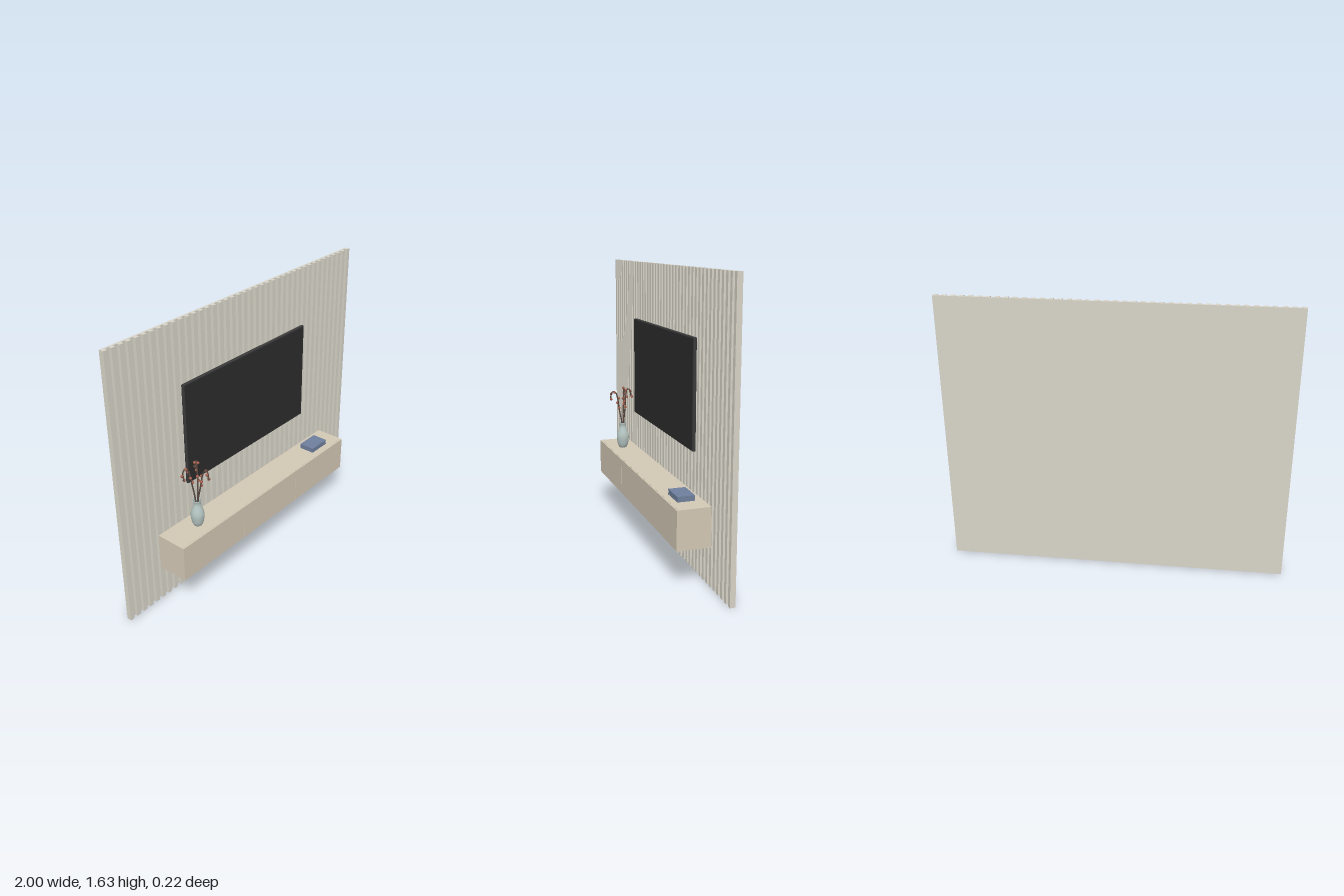
import * as THREE from 'three';
import { RoundedBoxGeometry } from 'three/addons/geometries/RoundedBoxGeometry.js';

const mat = (color, side = THREE.FrontSide) => new THREE.MeshStandardMaterial({ color, side });

function add(parent, name, geometry, material, x = 0, y = 0, z = 0) {
  const mesh = new THREE.Mesh(geometry, material);
  mesh.name = name;
  mesh.position.set(x, y, z);
  parent.add(mesh);
  return mesh;
}

// Box given by its min and max corners
function box(parent, name, material, [x0, y0, z0], [x1, y1, z1], radius = 0) {
  const size = [x1 - x0, y1 - y0, z1 - z0];
  const geo = radius ? new RoundedBoxGeometry(...size, 2, radius) : new THREE.BoxGeometry(...size);
  return add(parent, name, geo, material, (x0 + x1) / 2, (y0 + y1) / 2, (z0 + z1) / 2);
}

// Back board with evenly spaced vertical slats
function createWall() {
  const wall = new THREE.Group();
  wall.name = 'slattedWall';
  const cream = mat(0xd8d4c8);
  box(wall, 'backBoard', cream, [-1, 0, -0.11], [1, 1.63, -0.098]);
  const count = 41, width = 2 / (2 * count - 1);
  for (let i = 0; i < count; i++) {
    const x = -1 + 2 * i * width;
    box(wall, 'slat', cream, [x, 0, -0.098], [x + width, 1.63, -0.08]);
  }
  return wall;
}

function createTelevision() {
  const tv = new THREE.Group();
  tv.name = 'television';
  box(tv, 'televisionBody', mat(0x3a3a3a), [-0.52, 0.67, -0.081], [0.52, 1.277, -0.062], 0.005);
  box(tv, 'screen', mat(0x2c2c2c), [-0.513, 0.677, -0.064], [0.513, 1.27, -0.0605]);
  return tv;
}

// Floating cabinet with three doors and a light strip underneath
function createCabinet() {
  const cabinet = new THREE.Group();
  cabinet.name = 'cabinet';
  const wood = mat(0xd3c8b5);
  box(cabinet, 'cabinetBody', wood, [-0.75, 0.222, -0.08], [0.75, 0.44, 0.1]);
  for (let i = -1; i <= 1; i++) {
    const left = i < 0 ? -0.75 : i * 0.5 - 0.2485;
    const right = i > 0 ? 0.75 : i * 0.5 + 0.2485;
    box(cabinet, 'door', wood, [left, 0.223, 0.1], [right, 0.439, 0.108]);
  }
  box(cabinet, 'lightStrip', mat(0xe8e2d4), [-0.72, 0.217, -0.043], [0.72, 0.223, -0.032]);
  return cabinet;
}

// Open vase turned from a profile, with an inner wall
function createVase() {
  const vase = new THREE.Group();
  vase.name = 'vase';
  const outer = new THREE.SplineCurve([
    [0.023, 0], [0.033, 0.022], [0.039, 0.062], [0.036, 0.09],
    [0.025, 0.122], [0.02, 0.142], [0.024, 0.163],
  ].map(([x, y]) => new THREE.Vector2(x, y))).getPoints(24);
  const inner = [[0.02, 0.163], [0.016, 0.142], [0.03, 0.09], [0.02, 0.03], [0, 0.03]];
  const profile = [new THREE.Vector2(0, 0), ...outer, ...inner.map(([x, y]) => new THREE.Vector2(x, y))];
  add(vase, 'vaseBody', new THREE.LatheGeometry(profile, 32), mat(0xb4c4c0, THREE.DoubleSide));
  return vase;
}

// Curved stem whose tip hangs over, with berries along its upper part
function createBranch(points) {
  const branch = new THREE.Group();
  branch.name = 'branch';
  const curve = new THREE.CatmullRomCurve3(points.map((p) => new THREE.Vector3(...p)));
  add(branch, 'stem', new THREE.TubeGeometry(curve, 40, 0.0042, 8), mat(0x5a4a42));
  const berry = new THREE.SphereGeometry(0.0085, 12, 8), red = mat(0xa8604e);
  [0.56, 0.64, 0.72, 0.83, 0.92, 1].forEach((t, i) => {
    const p = curve.getPointAt(t), a = i * 2.4;
    add(branch, 'berry', berry, red, p.x + 0.007 * Math.cos(a), p.y, p.z + 0.007 * Math.sin(a));
  });
  return branch;
}

// Closed book with pages set back from its covers
function createBook() {
  const book = new THREE.Group();
  book.name = 'book';
  const blue = mat(0x6f7f9c);
  box(book, 'bottomCover', blue, [0.487, 0.44, -0.036], [0.633, 0.445, 0.062]);
  box(book, 'pages', blue, [0.488, 0.445, -0.035], [0.632, 0.465, 0.061]);
  box(book, 'topCover', blue, [0.487, 0.465, -0.036], [0.633, 0.47, 0.062]);
  return book;
}

export function createModel() {
  const model = new THREE.Group();
  model.name = 'mediaWall';
  model.add(createWall(), createTelevision(), createCabinet(), createBook());

  const arrangement = new THREE.Group();
  arrangement.name = 'vaseArrangement';
  arrangement.position.set(-0.535, 0.44, 0.013);
  arrangement.add(createVase());
  // Left, front and right branches, relative to the vase foot
  [
    [[0, 0.04, 0], [-0.008, 0.17, -0.004], [-0.022, 0.28, -0.012], [-0.03, 0.345, -0.02],
      [-0.05, 0.383, -0.025], [-0.068, 0.365, -0.028], [-0.066, 0.31, -0.026]],
    [[0, 0.04, 0], [0.002, 0.17, 0.008], [0.006, 0.26, 0.026], [0.012, 0.33, 0.037],
      [0.015, 0.368, 0.053], [0.014, 0.37, 0.073], [0.01, 0.325, 0.084]],
    [[0, 0.04, 0], [0.01, 0.17, -0.004], [0.022, 0.27, -0.01], [0.026, 0.34, -0.014],
      [0.032, 0.388, -0.022], [0.042, 0.383, -0.036], [0.04, 0.34, -0.045]],
  ].forEach((points) => arrangement.add(createBranch(points)));
  model.add(arrangement);
  return model;
}
